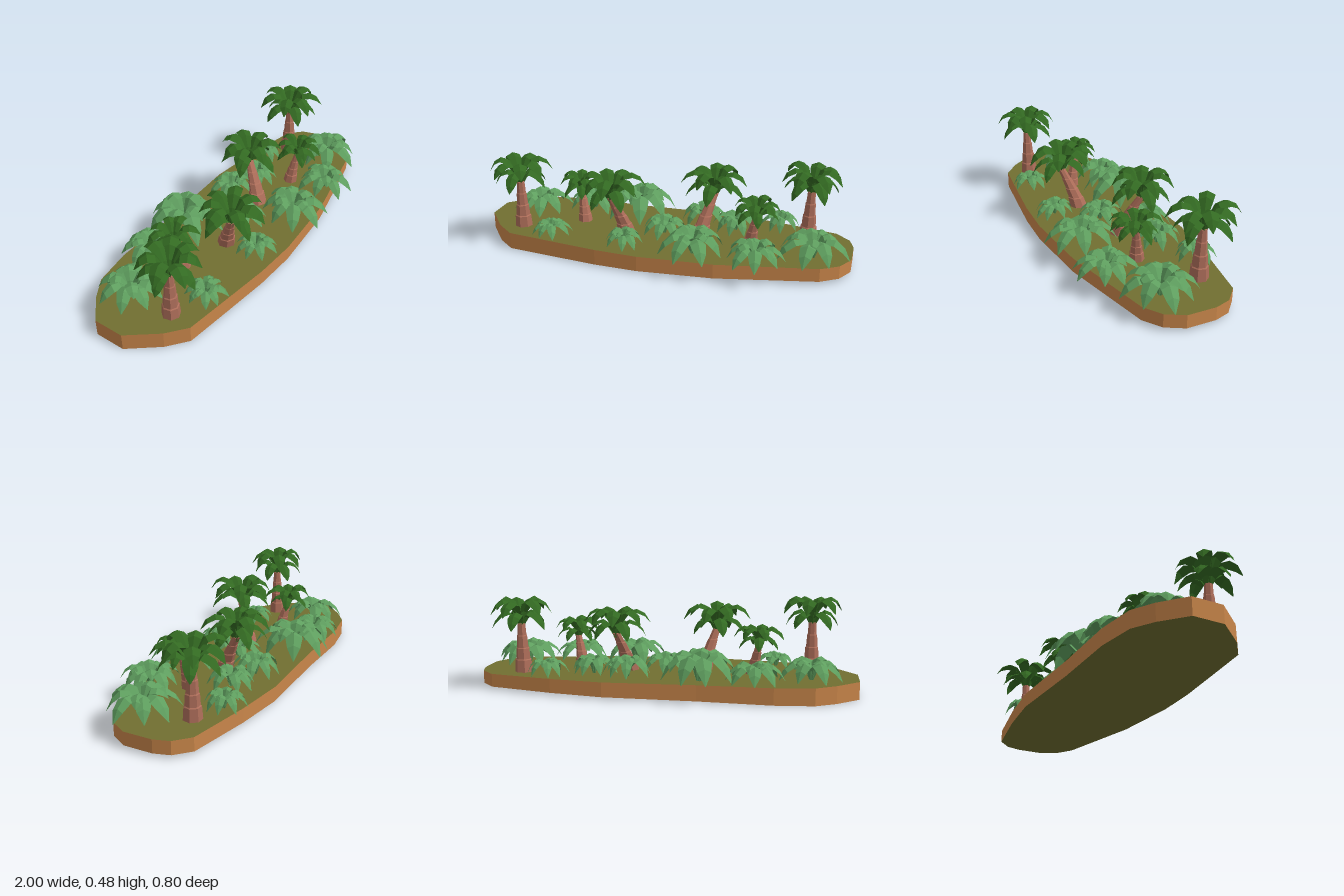
import * as THREE from 'three';

const mat = (name, color, opts = {}) => {
  const m = new THREE.MeshStandardMaterial({ color, flatShading: true, ...opts });
  m.name = name;
  return m;
};
const TOP = 0.088;

// Small seeded generator for natural variation
function seeded(seed) {
  let s = seed * 7919 + 17;
  return () => {
    s = (s * 16807) % 2147483647;
    return s / 2147483647;
  };
}

// Arched leaf along +x: stations of [reach, height, half width], folded down from the midrib
function leafGeometry(stations, length, height, width) {
  const pos = [], index = [];
  stations.forEach(([r, h, w], i) => {
    const x = r * length, y = h * height, z = w * width;
    pos.push(x, y - z * 0.45, -z, x, y, 0, x, y - z * 0.45, z);
    if (!i) return;
    const a = (i - 1) * 3, b = i * 3;
    for (const k of [0, 1]) index.push(a + k, a + k + 1, b + k, a + k + 1, b + k + 1, b + k);
  });
  const g = new THREE.BufferGeometry();
  g.setAttribute('position', new THREE.Float32BufferAttribute(pos, 3));
  g.setIndex(index);
  g.computeVertexNormals();
  return g;
}

const FERN_OUTER = [[0.03, 0, 0.2], [0.14, 0.5, 0.45], [0.34, 0.87, 0.85], [0.58, 0.9, 1], [0.82, 0.6, 0.75], [1, 0.1, 0.04]];
const FERN_INNER = [[0.02, 0, 0.2], [0.14, 0.55, 0.5], [0.35, 0.94, 0.9], [0.6, 1, 1], [0.85, 0.85, 0.7], [1, 0.6, 0.04]];
const PALM_UPPER = [[0.03, 0, 0.25], [0.16, 0.55, 0.5], [0.36, 0.92, 0.9], [0.6, 1, 1], [0.83, 0.85, 0.8], [1, 0.5, 0.05]];
const PALM_LOWER = [[0.03, 0, 0.25], [0.2, 0.42, 0.6], [0.44, 0.66, 1], [0.7, 0.55, 0.95], [0.9, 0.28, 0.6], [1, 0, 0.05]];

// Ring of leaves around a centre
function addRing(group, name, material, stations, count, length, height, width, start, rand) {
  for (let i = 0; i < count; i++) {
    const l = length * (0.88 + rand() * 0.2);
    const leaf = new THREE.Mesh(leafGeometry(stations, l, height * (0.92 + rand() * 0.08), width), material);
    leaf.rotation.y = start + ((i + (rand() - 0.5) * 0.35) / count) * Math.PI * 2;
    leaf.name = name;
    group.add(leaf);
  }
}

function makeFern([x, z, radius, top], seed, material) {
  const g = new THREE.Group(), rand = seeded(seed + 1), h = top - TOP;
  g.name = 'fern';
  g.position.set(x, TOP, z);
  const start = rand() * 6;
  addRing(g, 'fernLeaf', material, FERN_OUTER, 8, radius, h, radius * 0.22, start, rand);
  addRing(g, 'innerFernLeaf', material, FERN_INNER, 4, radius * 0.68, h, radius * 0.18, start + 0.4, rand);
  return g;
}

// Leaning stepped trunk with a two-layer crown
function makePalm({ base, crown, trunkTop, radius }, seed, bark, green) {
  const g = new THREE.Group(), rand = seeded(seed + 50);
  g.name = 'palm';
  const s = radius / 0.18, height = trunkTop - TOP + 0.02;
  const profile = [[0.048, -0.02], [0.043, 0.24], [0.038, 0.26], [0.035, 0.48], [0.031, 0.5], [0.027, 0.74], [0.024, 0.76], [0.021, 1], [0, 1.02]];
  const trunkGeo = new THREE.LatheGeometry(profile.map(([r, y]) => new THREE.Vector2(r * (0.3 + 0.7 * s), y * height)), 7);
  const p = trunkGeo.attributes.position;
  for (let i = 0; i < p.count; i++) {
    const t = Math.pow(Math.max(0, p.getY(i) / height), 1.2);
    p.setX(i, p.getX(i) + (crown[0] - base[0]) * t);
    p.setZ(i, p.getZ(i) + (crown[1] - base[1]) * t);
  }
  const trunk = new THREE.Mesh(trunkGeo, bark);
  trunk.name = 'trunk';
  trunk.position.set(base[0], TOP, base[1]);

  const head = new THREE.Group();
  head.name = 'palmCrown';
  head.position.set(crown[0], trunkTop, crown[1]);
  const start = rand() * 6;
  addRing(head, 'upperFrond', green, PALM_UPPER, 7, radius * 0.97, 0.16 * s, radius * 0.21, start, rand);
  addRing(head, 'lowerFrond', green, PALM_LOWER, 5, radius * 0.86, 0.14 * s, radius * 0.2, start + 0.45, rand);
  g.add(trunk, head);
  return g;
}

export function createModel() {
  const grass = mat('olive ground', 0x716f31);
  const earth = mat('brown earth', 0xc9864a);
  const bark = mat('reddish bark', 0xae6e5a, { side: THREE.DoubleSide });
  const fernGreen = mat('light green', 0x5f9f5f, { side: THREE.DoubleSide });
  const palmGreen = mat('dark green', 0x336a22, { side: THREE.DoubleSide });
  const model = new THREE.Group();
  model.name = 'palmIsland';

  // Ground slab, slightly thinner towards +x
  const outline = [
    [-1, -0.11], [-0.885, -0.215], [-0.78, -0.28], [-0.58, -0.31], [-0.2, -0.31], [0.28, -0.33], [0.56, -0.3],
    [0.9, -0.24], [0.975, -0.17], [1, -0.09], [1, 0.06], [0.95, 0.15], [0.86, 0.21], [0.35, 0.32],
    [-0.04, 0.35], [-0.27, 0.34], [-0.53, 0.31], [-0.78, 0.28], [-0.88, 0.2], [-1, 0.05],
  ];
  const shape = new THREE.Shape(outline.map(([x, z]) => new THREE.Vector2(x, -z)));
  const slab = new THREE.ExtrudeGeometry(shape, { depth: 1, bevelEnabled: false });
  slab.rotateX(-Math.PI / 2);
  const p = slab.attributes.position;
  for (let i = 0; i < p.count; i++) {
    const t = p.getX(i) + 1;
    p.setY(i, p.getY(i) > 0.5 ? 0.092 - 0.004 * t : 0.008 * t);
  }
  slab.computeVertexNormals();
  const ground = new THREE.Mesh(slab, [grass, earth]);
  ground.name = 'ground';
  model.add(ground);

  // Palms
  [
    { base: [-0.76, 0.15], crown: [-0.76, 0.155], trunkTop: 0.325, radius: 0.18 },
    { base: [-0.46, -0.01], crown: [-0.49, -0.045], trunkTop: 0.235, radius: 0.135 },
    { base: [-0.19, 0.06], crown: [-0.25, 0.135], trunkTop: 0.28, radius: 0.18 },
    { base: [0.2, 0], crown: [0.255, -0.1], trunkTop: 0.28, radius: 0.18 },
    { base: [0.48, 0.04], crown: [0.51, 0.06], trunkTop: 0.235, radius: 0.135 },
    { base: [0.755, -0.145], crown: [0.76, -0.15], trunkTop: 0.325, radius: 0.18 },
  ].forEach((d, i) => model.add(makePalm(d, i, bark, palmGreen)));

  // Ferns: x, z, radius, top height
  [
    [-0.76, -0.1, 0.17, 0.205], [-0.48, -0.21, 0.16, 0.2], [-0.2, -0.215, 0.21, 0.25], [0.01, 0.02, 0.13, 0.18],
    [0.18, -0.17, 0.13, 0.2], [0.37, -0.13, 0.13, 0.19], [0.6, -0.22, 0.11, 0.18], [0.81, 0.09, 0.18, 0.215],
    [0.54, 0.23, 0.155, 0.195], [0.22, 0.22, 0.18, 0.22], [-0.15, 0.22, 0.11, 0.17], [-0.57, 0.21, 0.11, 0.165],
  ].forEach((d, i) => model.add(makeFern(d, i, fernGreen)));

  return model;
}
